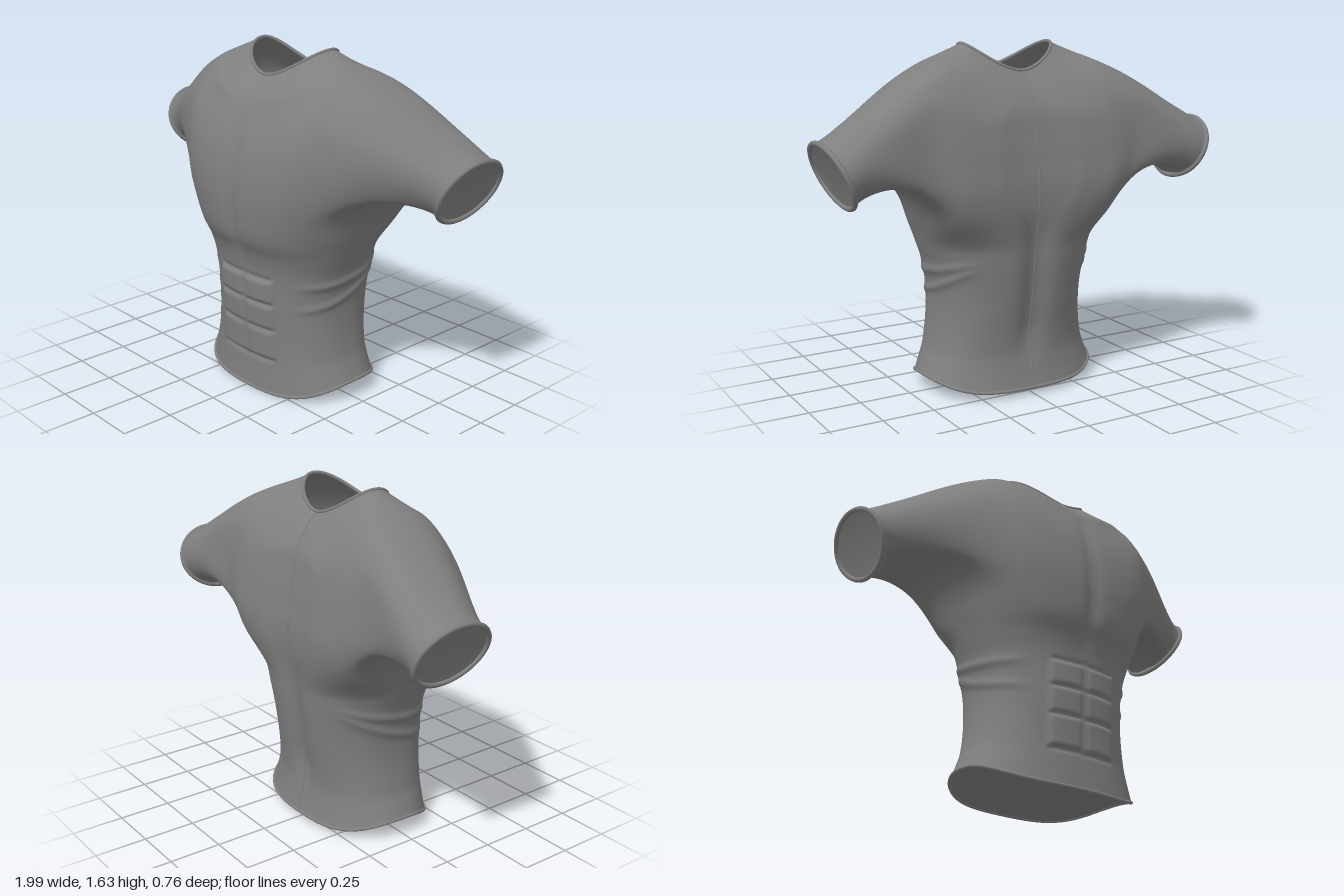
import * as THREE from 'three';

const material = new THREE.MeshStandardMaterial({ color: 0x7f7f7f, side: THREE.DoubleSide });
const { smoothstep, lerp } = THREE.MathUtils;
const COLS = 192, ROWS = 190, Y0 = 0.02, Y1 = 1.5;

// Torso sections from hem to neck: y, half width, front z, back z, side z, rise at the sides
const sections = [
  [0.02, 0.44, 0.29, -0.3, 0, 0.07],
  [0.1, 0.42, 0.285, -0.284, 0, 0.04],
  [0.2, 0.395, 0.282, -0.275, 0, 0.01],
  [0.45, 0.37, 0.295, -0.308, 0, 0],
  [0.62, 0.395, 0.305, -0.332, 0, 0],
  [0.7, 0.42, 0.325, -0.34, 0, 0],
  [0.78, 0.447, 0.362, -0.35, -0.01, 0],
  [0.92, 0.507, 0.382, -0.37, -0.04, 0.01],
  [1.0, 0.55, 0.384, -0.372, -0.06, 0.05],
  [1.1, 0.58, 0.376, -0.36, -0.07, 0.12],
  [1.2, 0.57, 0.355, -0.345, -0.07, 0.2],
  [1.32, 0.5, 0.307, -0.315, -0.05, 0.195],
  [1.42, 0.37, 0.25, -0.25, -0.03, 0.142],
  [1.5, 0.23, 0.155, -0.175, -0.03, 0.12],
];
const profile = new THREE.CubicInterpolant(
  sections.map((s) => s[0]), new Float32Array(sections.flatMap((s) => s.slice(1))), 5);

const bell = (t, width) => Math.exp(-((t / width) ** 2));
const band = (t, a, b, soft) => smoothstep(t, a, a + soft) * (1 - smoothstep(t, b - soft, b));

// Muscle relief on the front: sternum, grooved abdomen and collarbones
function frontRelief(x, y) {
  const ax = Math.abs(x);
  let d = -0.018 * bell(x, 0.035) * band(y, 0.6, 1.45, 0.25);
  d += 0.013 * band(ax, -0.1, 0.195, 0.03) * band(y, 0.165, 0.6, 0.03);
  for (const line of [0.18, 0.33, 0.46, 0.582])
    d -= 0.014 * bell(y - line, 0.011) * band(ax, 0, 0.19, 0.03);
  d -= 0.013 * bell(x, 0.012) * band(y, 0.15, 0.62, 0.05);
  return d + 0.008 * bell(y - 1.4, 0.025) * band(ax, 0.05, 0.45, 0.1);
}

// Two slanted folds across the ribs
function ribRelief(z, y) {
  const t = 0.22 - z, fade = band(z, -0.3, 0.26, 0.08);
  return 0.009 * fade * (bell(y - 0.565 - 0.35 * t * t, 0.02) + bell(y - 0.45 - 0.1 * t - 0.5 * t * t, 0.02));
}

// Point on the torso at an angle (0 = left side, 90 degrees = front) and a height
function torsoPoint(angle, height) {
  const [w, front, back, side, rise] = profile.evaluate(height);
  const c = Math.cos(angle), s = Math.sin(angle), ac = Math.abs(c), as = Math.abs(s);
  const chest = smoothstep(height, 0.7, 1), neck = smoothstep(height, 1.25, 1.5);
  const power = 2 / lerp(lerp(2.4, s > 0 ? 2.6 : 6, chest), 2, neck);
  let x = Math.sign(c) * w * ac ** power;
  let z = side + ((s > 0 ? front : back) - side) * as ** power;
  const lift = rise * ac ** (height < 0.5 ? 3.6 : lerp(2, 1.7, neck));
  const y = height + lift - 0.013 * s * Math.max(0, 1 - height / 0.3);
  if (s > 0) z += frontRelief(x, height) * smoothstep(s, 0.1, 0.4);
  else z += 0.032 * bell(x, 0.07) * band(height, 0.1, 1.5, 0.25);
  x += Math.sign(c) * ribRelief(z, height) * smoothstep(ac, 0.3, 0.7);
  return new THREE.Vector3(x, y, z);
}

// Tilted oval at the end of a sleeve
const cuffPoint = (phi, side) => new THREE.Vector3(
  side * (0.923 + 0.062 * Math.sin(phi)), 1.093 + 0.142 * Math.sin(phi), -0.175 + 0.19 * Math.cos(phi));

function build(points, index) {
  const geometry = new THREE.BufferGeometry().setFromPoints(points).setIndex(index);
  geometry.computeVertexNormals();
  return geometry;
}

// Softens the join between torso and sleeves by averaging neighbouring points
function relaxShoulders(points, index) {
  const near = points.map(() => new Set());
  for (let k = 0; k < index.length; k++)
    near[index[k]].add(index[k % 3 === 2 ? k - 2 : k + 1]);
  const zone = [];
  points.forEach((p, id) => {
    const weight = band(Math.abs(p.x), 0.36, 0.88, 0.12) * smoothstep(p.y, 0.78, 0.92);
    if (weight > 0 && near[id].size) zone.push({ id, weight, around: [...near[id]] });
  });
  for (let pass = 0; pass < 70; pass++) {
    const means = zone.map(({ around }) => {
      const mean = new THREE.Vector3();
      around.forEach((n) => mean.add(points[n]));
      return mean.divideScalar(around.length);
    });
    zone.forEach(({ id, weight }, k) => points[id].lerp(means[k], weight * 0.7));
  }
}

// Torso with an arm hole on each side, and sleeves grown from the edges of the holes
function shirtGeometry() {
  const points = [], index = [];
  const add = (p) => points.push(p) - 1;
  const quad = (a, b, c, d) => index.push(a, c, b, b, c, d);
  const at = (i, j) => j * COLS + ((i + COLS) % COLS);
  for (let j = 0; j <= ROWS; j++)
    for (let i = 0; i < COLS; i++)
      add(torsoPoint((i / COLS) * Math.PI * 2, lerp(Y0, Y1, j / ROWS)));

  const K = 21, rowOf = (y) => Math.round(((y - Y0) / (Y1 - Y0)) * ROWS);
  const low = rowOf(0.9), high = rowOf(1.32);
  const inHole = (i, j) => j >= low && j < high &&
    [0, COLS / 2, COLS].some((c) => i >= c - K && i < c + K);
  for (let j = 0; j < ROWS; j++)
    for (let i = 0; i < COLS; i++)
      if (!inHole(i, j)) quad(at(i, j), at(i + 1, j), at(i, j + 1), at(i + 1, j + 1));

  for (const side of [1, -1]) {
    const c = side > 0 ? 0 : COLS / 2, loop = [];
    for (let i = -K; i < K; i++) loop.push(at(c + i, low));
    for (let j = low; j < high; j++) loop.push(at(c + K, j));
    for (let i = K; i > -K; i--) loop.push(at(c + i, high));
    for (let j = high; j > low; j--) loop.push(at(c - K, j));

    // Each strand of the sleeve is a cubic curve from the arm hole to the cuff
    const strands = loop.map((id) => {
      const p = points[id].clone();
      const phi = Math.atan2((p.y - 1.2) / 0.29, (p.z + 0.05) / 0.27);
      const up = Math.sin(phi), out = Math.cos(phi), end = cuffPoint(phi, side);
      const leave = new THREE.Vector3(
        side * (0.42 + 0.125 * up - 0.095 * up * up), -0.47 * up + 0.32 * up * up, -0.08 - 0.02 * out);
      const arrive = new THREE.Vector3(side * (0.35 + 0.08 * up), -0.2 + 0.05 * up, 0);
      return new THREE.CubicBezierCurve3(p, p.clone().addScaledVector(leave, 1 / 3),
        end.clone().addScaledVector(arrive, -1 / 3), end);
    });
    let ring = loop;
    const RINGS = 32;
    for (let r = 1; r <= RINGS; r++) {
      const next = strands.map((curve) => add(curve.getPoint(r / RINGS)));
      ring.forEach((id, k) => {
        const n = (k + 1) % ring.length;
        quad(id, ring[n], next[k], next[n]);
      });
      ring = next;
    }
  }
  relaxShoulders(points, index);
  return build(points, index);
}

// Shallow dished cover that closes a loop
function capGeometry(loop, inset) {
  const center = new THREE.Vector3(), points = [], index = [], n = loop.length;
  loop.forEach((p) => center.addScaledVector(p, 1 / n));
  for (const [scale, depth] of [[1, 0], [0.65, 1], [0.001, 1]])
    for (const p of loop)
      points.push(center.clone().lerp(p, scale).addScaledVector(inset, depth));
  for (let r = 0; r < 2; r++)
    for (let k = 0; k < n; k++) {
      const a = r * n + k, b = r * n + ((k + 1) % n);
      index.push(a, b, a + n, b, b + n, a + n);
    }
  return build(points, index);
}

const rimGeometry = (loop, radius, closed = true) =>
  new THREE.TubeGeometry(new THREE.CatmullRomCurve3(loop, closed), 128, radius, 8, closed);

export function createModel() {
  const group = new THREE.Group();
  const part = (name, geometry) => {
    const mesh = new THREE.Mesh(geometry, material);
    mesh.name = name;
    group.add(mesh);
  };
  const around = (fn) => Array.from({ length: 64 }, (_, i) => fn((i / 64) * Math.PI * 2));
  part('shirtBody', shirtGeometry());
  // Hem, neckline and the seam down the back
  const hem = around((a) => torsoPoint(a, Y0));
  part('hemRim', rimGeometry(hem, 0.008));
  part('hemCover', capGeometry(hem, new THREE.Vector3(0, -0.022, 0)));
  part('neckRim', rimGeometry(around((a) => torsoPoint(a, Y1)), 0.008));
  const seam = Array.from({ length: 40 }, (_, i) => torsoPoint(Math.PI * 1.5, lerp(Y0, Y1, i / 39)));
  part('backSeam', rimGeometry(seam, 0.004, false));
  // Sleeve ends
  for (const [name, side] of [['left', 1], ['right', -1]]) {
    const cuff = around((a) => cuffPoint(a, side));
    part(name + 'CuffRim', rimGeometry(cuff, 0.012));
    part(name + 'CuffCover', capGeometry(cuff, new THREE.Vector3(-side * 0.008, 0.003, 0)));
  }
  return group;
}
